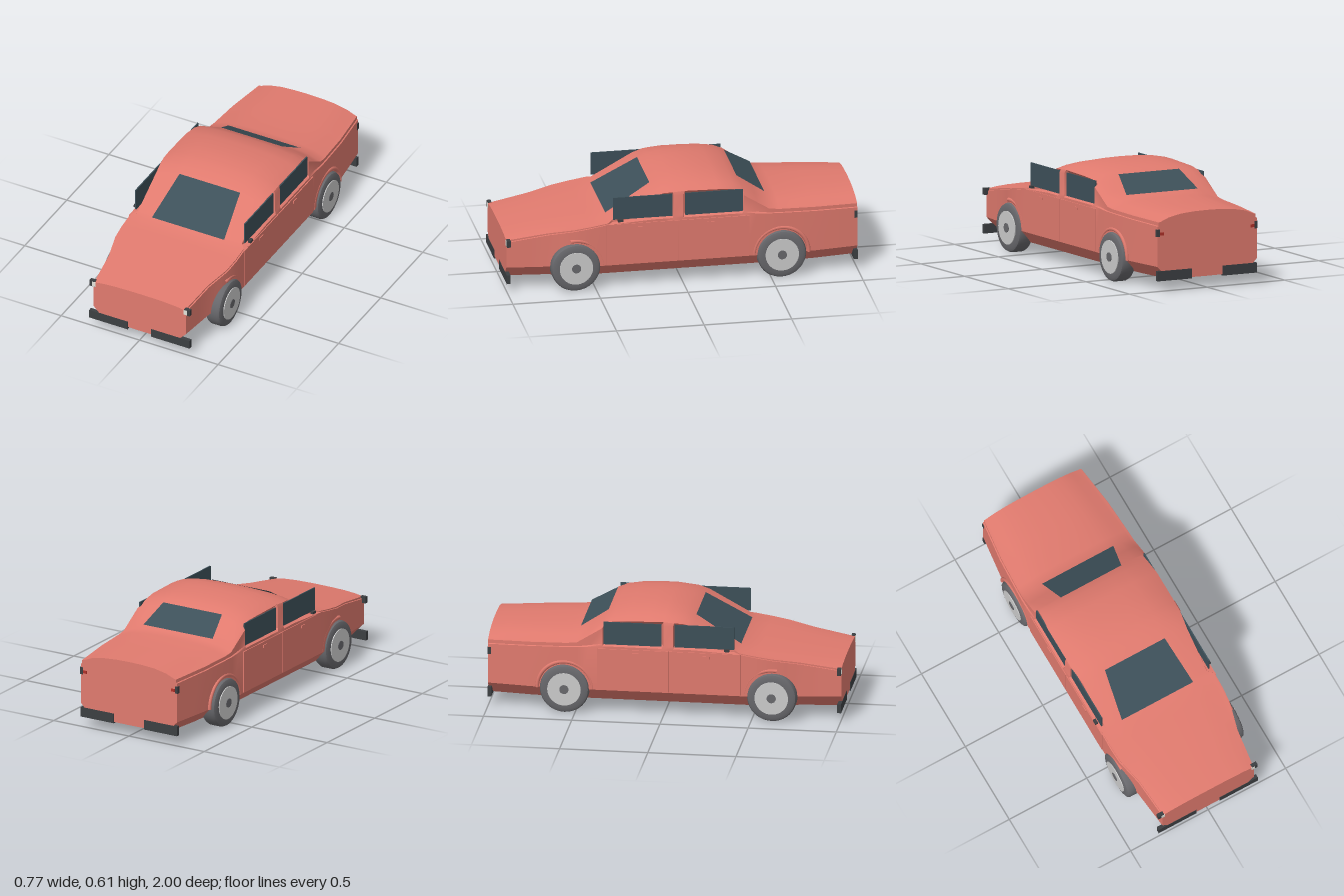
import * as THREE from 'three';
import { toCreasedNormals } from 'three/addons/utils/BufferGeometryUtils.js';

const mat = (color, side = THREE.FrontSide) => new THREE.MeshStandardMaterial({ color, side });
const paint = mat(0xe07a6e);
const glass = mat(0x3d5059, THREE.DoubleSide);
const dark = mat(0x3c3f42);
const rubber = mat(0x68686c);
const rimGrey = mat(0xcccccc);
const lampWhite = mat(0xe4e4dc);
const lampRed = mat(0xb03028);

// Piecewise linear curve through [z, value] points, listed front to back
const curve = (...pts) => (z) => {
  const i = Math.max(1, pts.findIndex((p) => p[0] <= z));
  const [z0, v0] = pts[i - 1], [z1, v1] = pts[i];
  return THREE.MathUtils.mapLinear(z, z0, z1, v0, v1);
};

// Body outlines along the length
const halfWidth = curve([1, 0.295], [0.77, 0.32], [0.62, 0.358], [0.53, 0.365], [-0.5, 0.363], [-0.75, 0.35], [-1, 0.32]);
const beltY = curve([1, 0.29], [0.43, 0.385], [0.17, 0.4], [-0.345, 0.4], [-0.5, 0.387], [-1, 0.37]);
const edgeX = curve([1, 0.28], [0.53, 0.328], [0.17, 0.336], [0.06, 0.35], [-0.2, 0.35], [-0.335, 0.336], [-0.55, 0.34], [-1, 0.298]);
const edgeY = curve([1, 0.303], [0.43, 0.392], [0.4, 0.404], [0.17, 0.528], [0.11, 0.546], [0, 0.554],
  [-0.2, 0.55], [-0.29, 0.541], [-0.345, 0.52], [-0.49, 0.418], [-0.55, 0.41], [-1, 0.396]);
const topY = curve([1, 0.318], [0.43, 0.401], [0.17, 0.552], [0.11, 0.579], [0, 0.604], [-0.08, 0.607],
  [-0.2, 0.597], [-0.29, 0.579], [-0.345, 0.548], [-0.49, 0.46], [-0.55, 0.452], [-1, 0.44]);

const STATIONS = [1, 0.88, 0.77, 0.69, 0.62, 0.53, 0.43, 0.4, 0.17, 0.11, 0.06, 0.055, 0, -0.01,
  -0.08, -0.2, -0.29, -0.335, -0.345, -0.42, -0.49, -0.55, -0.75, -0.9, -1];

// Closed cross-section, anticlockwise from the bottom centre; sides step in behind the windows
function section(z) {
  const w = halfWidth(z), belt = beltY(z), ex = edgeX(z), ey = edgeY(z), top = topY(z);
  const atWindow = (z >= 0.06 && z <= 0.4) || (z >= -0.335 && z <= -0.01);
  const inner = atWindow ? 0.332 : w - 0.007;
  const h = ey - belt, d = top - ey;
  const half = [
    [w - 0.07, 0.067], [w, 0.14], [w, belt],
    [inner, belt + h * 0.1], [inner, belt + h * 0.88], [ex, ey],
    [ex * 0.83, ey + d * 0.47], [ex * 0.57, ey + d * 0.82], [ex * 0.29, ey + d * 0.96],
  ];
  const mirrored = half.map(([x, y]) => [-x, y]).reverse();
  return [[0, 0.065], ...half, [0, top], ...mirrored].map(([x, y]) => [x, y, z]);
}

function bodyGeometry() {
  const rings = STATIONS.map(section), n = rings[0].length, pos = rings.flat(2), index = [];
  for (let s = 0; s < rings.length - 1; s++) {
    for (let i = 0; i < n; i++) {
      const a = s * n + i, b = s * n + (i + 1) % n, c = b + n, d = a + n;
      index.push(a, d, c, a, c, b);
    }
  }
  // End caps fan out from a middle point
  const last = (rings.length - 1) * n, mid = rings.length * n;
  pos.push(0, 0.2, 1, 0, 0.2, -1);
  for (let i = 0; i < n; i++) {
    const j = (i + 1) % n;
    index.push(mid, i, j, mid + 1, last + j, last + i);
  }
  const g = new THREE.BufferGeometry();
  g.setAttribute('position', new THREE.Float32BufferAttribute(pos, 3));
  g.setIndex(index);
  return toCreasedNormals(g, 0.6);
}

// Flat trapezoid pane between a bottom and a top edge
function paneGeometry(xb, yb, zb, xt, yt, zt) {
  const g = new THREE.BufferGeometry();
  const p = [-xb, yb, zb, xb, yb, zb, xt, yt, zt, -xt, yt, zt];
  // Keep the front face outward for panes that lean either way
  const order = zb > zt ? [0, 1, 2, 0, 2, 3] : [0, 2, 1, 0, 3, 2];
  g.setAttribute('position', new THREE.Float32BufferAttribute(p, 3));
  g.setIndex(order);
  g.computeVertexNormals();
  return g;
}

function wheel() {
  const g = new THREE.Group();
  const profile = [[0, -0.048], [0.12, -0.048], [0.134, -0.042], [0.14, -0.03],
    [0.14, 0.028], [0.134, 0.04], [0.12, 0.046], [0.095, 0.046], [0, 0.046]]
    .map(([r, y]) => new THREE.Vector2(r, y));
  const tyre = new THREE.Mesh(toCreasedNormals(new THREE.LatheGeometry(profile, 40), 0.6), rubber);
  tyre.name = 'tyre';
  const rim = new THREE.Mesh(new THREE.CylinderGeometry(0.095, 0.095, 0.01, 40), rimGrey);
  rim.name = 'rim';
  rim.position.y = 0.046;
  const hub = new THREE.Mesh(new THREE.CylinderGeometry(0.026, 0.026, 0.01, 24), rubber);
  hub.name = 'hub';
  hub.position.y = 0.05;
  g.add(tyre, rim, hub);
  return g;
}

export function createModel() {
  const car = new THREE.Group();
  car.name = 'car';
  const add = (name, geometry, material) => {
    const m = new THREE.Mesh(geometry, material);
    m.name = name;
    car.add(m);
    return m;
  };
  // Box given by its limits on each axis
  const box = (name, material, x0, x1, y0, y1, z0, z1) =>
    add(name, new THREE.BoxGeometry(Math.abs(x1 - x0), y1 - y0, z1 - z0), material)
      .position.set((x0 + x1) / 2, (y0 + y1) / 2, (z0 + z1) / 2);

  add('body', bodyGeometry(), paint);
  add('windshield', paneGeometry(0.23, 0.407, 0.424, 0.193, 0.557, 0.165), glass);
  add('rearWindow', paneGeometry(0.23, 0.47, -0.485, 0.195, 0.564, -0.332), glass);

  for (const s of [1, -1]) {
    const side = s > 0 ? 'left' : 'right';
    // Side windows and doors
    box(side + 'FrontWindow', glass, s * 0.343, s * 0.35, 0.408, 0.54, 0.062, 0.4);
    box(side + 'RearWindow', glass, s * 0.343, s * 0.35, 0.408, 0.54, -0.34, -0.012);
    box(side + 'FrontDoor', paint, s * 0.35, s * 0.369, 0.145, 0.386, 0.033, 0.44);
    box(side + 'RearDoor', paint, s * 0.35, s * 0.369, 0.145, 0.386, -0.375, 0.029);
    for (const z of [0.245, -0.155]) {
      box(side + 'DoorHandle', paint, s * 0.365, s * 0.374, 0.352, 0.367, z - 0.02, z + 0.02);
    }
    box(side + 'Mirror', dark, s * 0.355, s * 0.373, 0.4, 0.414, 0.345, 0.375);

    // Bumpers
    box(side + 'FrontBumper', dark, s * 0.075, s * 0.32, 0.05, 0.102, 0.98, 1.002);
    box(side + 'RearBumper', dark, s * 0.1, s * 0.32, 0.058, 0.115, -1.002, -0.98);

    // Lamps
    box(side + 'HeadlampHousing', dark, s * 0.284, s * 0.32, 0.27, 0.308, 0.978, 1);
    box(side + 'Headlamp', lampWhite, s * 0.28, s * 0.302, 0.273, 0.303, 0.98, 1.002);
    box(side + 'TaillampHousing', dark, s * 0.305, s * 0.324, 0.31, 0.352, -1.001, -0.982);
    box(side + 'Taillamp', lampRed, s * 0.28, s * 0.305, 0.318, 0.335, -1.002, -0.985);

    // Wheels and arch lips
    for (const [name, z, arc] of [['Front', 0.615, 1.75], ['Rear', -0.56, Math.PI]]) {
      const w = wheel();
      w.name = side + name + 'Wheel';
      w.rotation.z = -s * Math.PI / 2;
      w.position.set(s * 0.332, 0.14, z);
      car.add(w);
      const lip = add(side + name + 'Arch', new THREE.TorusGeometry(0.156, 0.011, 8, 28, arc), paint);
      lip.rotation.y = Math.PI / 2;
      lip.position.set(s * 0.355, 0.14, z);
    }
  }
  return car;
}
